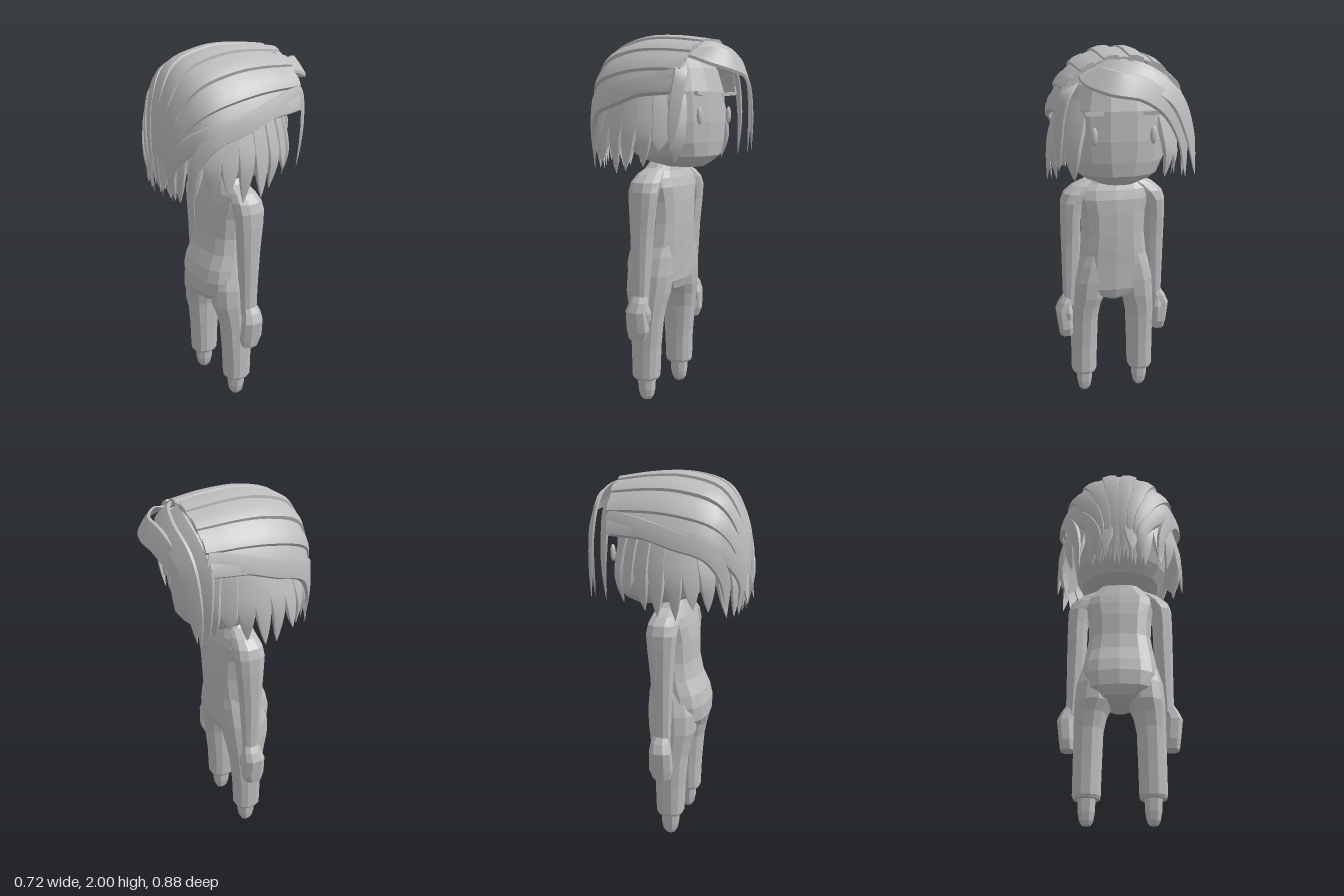
import * as THREE from 'three';
import { toCreasedNormals } from 'three/addons/utils/BufferGeometryUtils.js';

const V = (x, y, z) => new THREE.Vector3(x, y, z);
const HEAD = V(0, 1.62, 0.06);

// Skin a list of equal-length rings; optionally cap both ends.
function skin(rings, { closed = true, caps = true, crease = 0 } = {}) {
  const n = rings[0].length, pos = [], idx = [];
  rings.forEach(r => r.forEach(p => pos.push(p.x, p.y, p.z)));
  for (let i = 0; i < rings.length - 1; i++) {
    for (let j = 0; j < (closed ? n : n - 1); j++) {
      const a = i * n + j, b = i * n + (j + 1) % n;
      idx.push(a, a + n, b, b, a + n, b + n);
    }
  }
  if (caps) {
    const top = (rings.length - 1) * n;
    for (let j = 1; j < n - 1; j++) idx.push(0, j, j + 1, top, top + j + 1, top + j);
  }
  const g = new THREE.BufferGeometry();
  g.setAttribute('position', new THREE.Float32BufferAttribute(pos, 3));
  g.setIndex(idx);
  if (crease) return toCreasedNormals(g, crease);
  const flat = g.toNonIndexed();
  flat.computeVertexNormals();
  return flat;
}

// Horizontal rounded sections, bottom to top: [y, centre x, half width, centre z, half depth]
function body(sections, side = 1, sides = 12, power = 0.85) {
  const soft = v => Math.sign(v) * Math.abs(v) ** power;
  return skin(sections.map(([y, cx, rx, cz, rz]) => Array.from({ length: sides }, (_, j) => {
    const a = (j + 0.5) / sides * Math.PI * 2;
    return V(side * cx + rx * soft(Math.cos(a)), y, cz + rz * soft(Math.sin(a)));
  })));
}

// Tapered flat lock of hair lying on the head.
function lock(points, width, { h = 0.012, power = 5, steps = 18, start = 0.8 } = {}) {
  const curve = new THREE.CatmullRomCurve3(points);
  const rings = [];
  for (let i = 0; i <= steps; i++) {
    const t = i / steps, p = curve.getPoint(t), tan = curve.getTangent(t);
    const out = p.clone().sub(HEAD);
    out.addScaledVector(tan, -out.dot(tan)).normalize();
    const across = tan.clone().cross(out);
    const w = width * Math.min(1, start + t) * (1 - 0.98 * t ** power);
    const k = h * (1 - 0.9 * t ** power);
    rings.push([[-1, -0.7], [-0.85, 0.7], [0, 1], [0.85, 0.7], [1, -0.7], [0, -0.4]].map(([u, v]) =>
      p.clone().addScaledVector(across, u * w).addScaledVector(out, v * k)));
  }
  return skin(rings, { crease: 0.6 });
}

// Swept-back hair path at angle a around the crown: [x radius, base y, y radius, z]
const SWEEP = [
  [0.305, 1.69, 0.265, -0.22], [0.322, 1.68, 0.3, -0.06], [0.322, 1.65, 0.33, 0.12],
  [0.28, 1.6, 0.325, 0.3], [0.19, 1.53, 0.265, 0.385], [0.125, 1.44, 0.13, 0.425], [0.12, 1.3, 0, 0.405],
];
// The hairline bows forward in the middle.
const sweepPath = (a, drop = 0) => SWEEP.map(([rx, y, ry, z], i) =>
  V(rx * Math.sin(a), y + ry * Math.cos(a) - (i === 6 ? drop : 0), z - (i === 0 ? 0.03 * Math.cos(a) : 0)));

export function createModel() {
  const model = new THREE.Group();
  const grey = new THREE.MeshStandardMaterial({ color: 0xbcbcbc, side: THREE.DoubleSide });
  grey.name = 'plain grey';
  const add = (name, geometry, parent = model) => {
    const mesh = new THREE.Mesh(geometry, grey);
    mesh.name = name;
    parent.add(mesh);
    return mesh;
  };

  // Torso and head
  add('torso', body([
    [0.6, 0, 0.04, 0.06, 0.08], [0.63, 0, 0.12, 0.07, 0.135], [0.68, 0, 0.19, 0.075, 0.155],
    [0.76, 0, 0.203, 0.075, 0.157], [0.83, 0, 0.197, 0.066, 0.15], [0.91, 0, 0.185, 0.045, 0.133],
    [1, 0, 0.172, 0.035, 0.125], [1.12, 0, 0.178, 0.033, 0.122], [1.2, 0, 0.2, 0.03, 0.113],
    [1.25, 0, 0.2, 0.032, 0.098], [1.285, 0, 0.165, 0.034, 0.083], [1.34, 0, 0.11, 0.03, 0.065],
  ], 1, 14, 0.72));
  add('head', body([
    [1.31, 0, 0.1, -0.08, 0.11], [1.34, 0, 0.18, -0.055, 0.175], [1.37, 0, 0.22, -0.04, 0.222],
    [1.44, 0, 0.257, -0.022, 0.25], [1.55, 0, 0.272, 0, 0.278], [1.7, 0, 0.27, 0.015, 0.285],
    [1.82, 0, 0.235, 0.02, 0.255], [1.92, 0, 0.13, 0.02, 0.17],
  ], 1, 16));

  // Limbs and facial details, mirrored
  for (const s of [1, -1]) {
    add('leg', body([
      [0.125, 0.168, 0.066, 0.06, 0.07], [0.14, 0.168, 0.073, 0.06, 0.077], [0.3, 0.166, 0.075, 0.06, 0.083],
      [0.48, 0.163, 0.078, 0.058, 0.1], [0.56, 0.155, 0.086, 0.06, 0.115], [0.62, 0.14, 0.1, 0.063, 0.13],
      [0.72, 0.13, 0.102, 0.058, 0.134], [0.82, 0.11, 0.095, 0.045, 0.12], [0.92, 0.09, 0.08, 0.035, 0.1],
    ], s));
    add('foot', body([
      [0, 0.167, 0.024, 0.06, 0.028], [0.02, 0.167, 0.036, 0.06, 0.04], [0.06, 0.167, 0.044, 0.06, 0.048],
      [0.14, 0.167, 0.048, 0.06, 0.052],
    ], s, 8));
    add('arm', body([
      [0.57, 0.25, 0.036, 0.04, 0.046], [0.75, 0.242, 0.046, 0.038, 0.052], [0.95, 0.237, 0.054, 0.035, 0.063],
      [1.1, 0.236, 0.056, 0.031, 0.077], [1.18, 0.228, 0.062, 0.03, 0.085], [1.23, 0.197, 0.077, 0.03, 0.082],
      [1.27, 0.155, 0.072, 0.03, 0.07], [1.3, 0.11, 0.05, 0.03, 0.055],
    ], s, 10));
    add('hand', body([
      [0.38, 0.272, 0.038, 0.045, 0.05], [0.43, 0.275, 0.043, 0.04, 0.066], [0.54, 0.286, 0.046, 0.04, 0.062],
      [0.59, 0.27, 0.04, 0.035, 0.052], [0.62, 0.255, 0.034, 0.037, 0.044],
    ], s, 8));
    add('thumb', body([
      [0.49, 0.255, 0.017, -0.015, 0.014], [0.53, 0.258, 0.022, -0.012, 0.02], [0.585, 0.262, 0.018, 0.005, 0.018],
    ], s, 6));
    const eye = add('eye', new THREE.SphereGeometry(1, 10, 8));
    eye.scale.set(0.018, 0.045, 0.014);
    eye.position.set(s * 0.15, 1.58, -0.265);
    const brow = add('eyebrow', new THREE.BoxGeometry(0.1, 0.018, 0.02));
    brow.position.set(s * 0.15, 1.69, -0.26);
    brow.rotation.set(0, s * 0.25, s * 0.06);
  }

  // Hair: inner cap, swept strands, hanging side locks
  const hair = new THREE.Group();
  hair.name = 'hair';
  model.add(hair);
  const capRows = Array.from({ length: 19 }, (_, j) => {
    const curve = new THREE.CatmullRomCurve3(sweepPath((j / 9 - 1) * 1.45));
    return Array.from({ length: 13 }, (_, i) => curve.getPoint(i / 14));
  });
  add('hairCap', skin(capRows, { closed: false, caps: false, crease: 1 }), hair);

  // Wide raised strands alternate with narrow low ones
  const count = 15;
  for (let i = 0; i < count; i++) {
    const a = (i / (count - 1) * 2 - 1) * 1.42;
    const raised = i % 2 === 0;
    add('sweptStrand', lock(sweepPath(a, (i * 5 % 4) * 0.015 - 0.02), raised ? 0.046 : 0.042,
      { h: raised ? 0.019 : 0.006, power: 7, steps: 24, start: 0.9 }), hair);
  }
  for (const s of [1, -1]) {
    for (let i = 0; i < 10; i++) {
      const f = -0.75 + i * 0.235, c = Math.cos(f), z = Math.sin(f);
      const tip = 1.28 + (i * 3 % 4) * 0.02 + (i < 2 ? 0.06 : 0);
      const at = (r, y, shift = 0) => V(s * r * c, y, 0.05 + (r + 0.03) * z + shift);
      add('sideLock', lock([at(0.27, 1.74), at(0.31, 1.62), at(0.343, 1.47, 0.01), at(i % 2 ? 0.355 : 0.325, tip, 0.02)],
        0.054, { power: 4, h: 0.014, steps: 12 }), hair);
    }
    // Broad band sweeping over the ear
    add('sideBand', lock([V(s * 0.285, 1.78, -0.23), V(s * 0.325, 1.73, -0.03), V(s * 0.33, 1.68, 0.13),
      V(s * 0.29, 1.62, 0.29), V(s * 0.24, 1.5, 0.36), V(s * 0.21, 1.29, 0.37)], 0.05, { h: 0.016 }), hair);
  }

  // Fringe over the face side
  add('fringeOuter', lock([V(0.17, 1.9, -0.2), V(0.165, 1.88, -0.32), V(0.07, 1.85, -0.4), V(-0.07, 1.82, -0.39),
    V(-0.2, 1.73, -0.355), V(-0.28, 1.58, -0.325), V(-0.31, 1.37, -0.3)], 0.065, { h: 0.008, steps: 26 }), hair);
  add('fringeMiddle', lock([V(0.14, 1.92, -0.22), V(0.07, 1.91, -0.3), V(-0.08, 1.87, -0.345), V(-0.24, 1.77, -0.33),
    V(-0.32, 1.6, -0.315), V(-0.36, 1.38, -0.3)], 0.06, { h: 0.008, steps: 24 }), hair);
  add('fringeInner', lock([V(0.05, 1.93, -0.23), V(-0.08, 1.9, -0.28), V(-0.2, 1.83, -0.27), V(-0.285, 1.72, -0.25),
    V(-0.31, 1.55, -0.25), V(-0.31, 1.36, -0.24)], 0.05, { h: 0.008, steps: 20 }), hair);
  add('fringeShort', lock([V(0.24, 1.84, -0.21), V(0.285, 1.79, -0.24), V(0.315, 1.68, -0.235), V(0.325, 1.54, -0.22),
    V(0.32, 1.4, -0.2)], 0.035, { h: 0.008 }), hair);

  return model;
}
